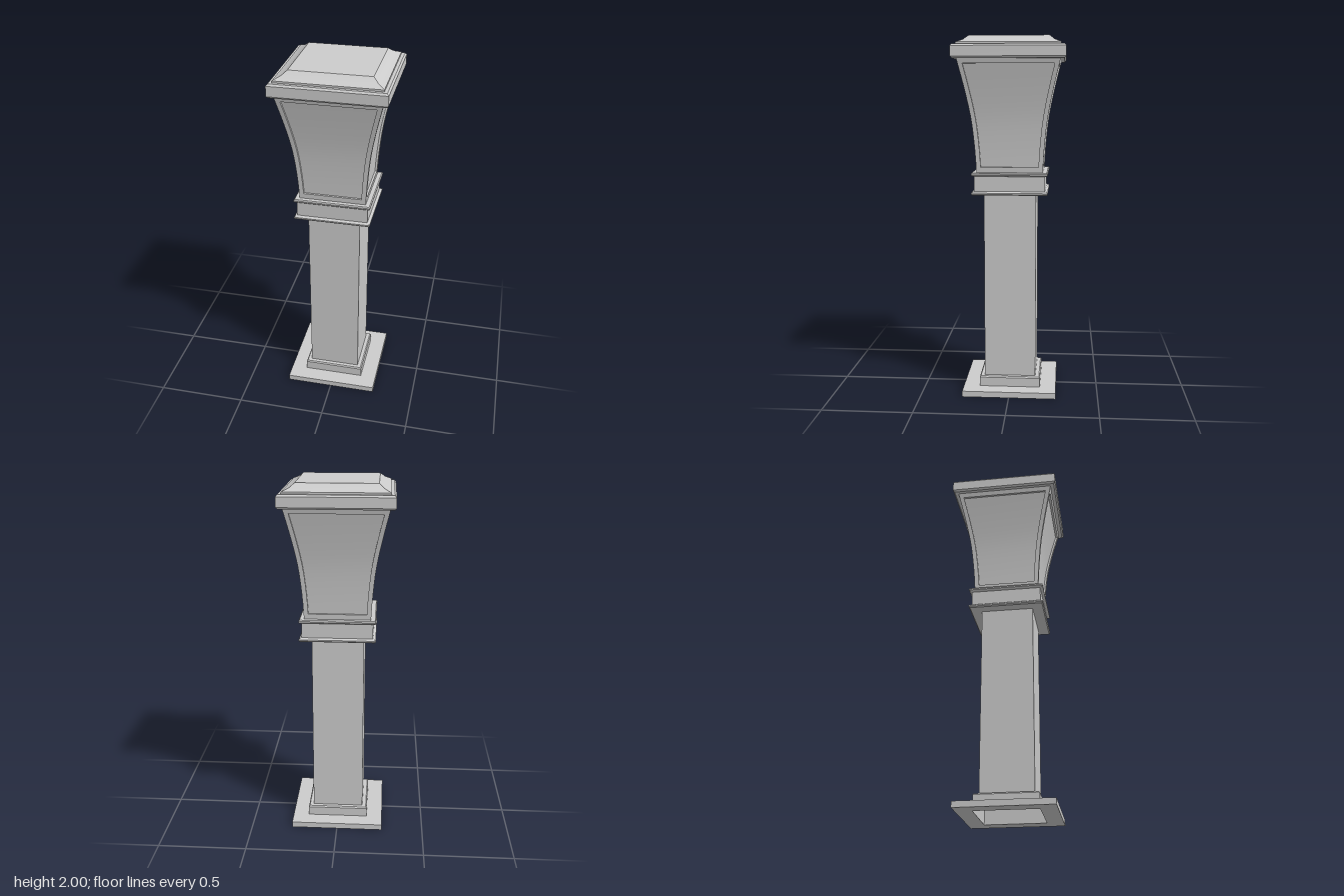
import * as THREE from 'three';
import { toCreasedNormals } from 'three/addons/utils/BufferGeometryUtils.js';

const material = new THREE.MeshStandardMaterial({ color: 0xcccccc, side: THREE.DoubleSide });

// Skins closed rings of points [x, y, z], listed from the bottom up.
function loft(name, rings) {
  const n = rings[0].length;
  const index = [];
  for (let r = 0; r < rings.length - 1; r++) {
    for (let i = 0; i < n; i++) {
      const a = r * n + i, b = r * n + (i + 1) % n;
      index.push(a, b, b + n, a, b + n, a + n);
    }
  }
  let geometry = new THREE.BufferGeometry();
  geometry.setAttribute('position', new THREE.Float32BufferAttribute(rings.flat(2), 3));
  geometry.setIndex(index);
  geometry = toCreasedNormals(geometry, 0.3);
  const mesh = new THREE.Mesh(geometry, material);
  mesh.name = name;
  return mesh;
}

// Repeats one side's points [along, out] around the four sides.
function fourSides(side, y) {
  const ring = [];
  for (let k = 0; k < 4; k++) {
    const c = Math.round(Math.cos(k * Math.PI / 2)), s = Math.round(Math.sin(k * Math.PI / 2));
    for (const [u, v] of side) ring.push([u * c + v * s, y, v * c - u * s]);
  }
  return ring;
}

// Square moulding from a profile of [half width, y].
const moulding = (name, profile) =>
  loft(name, profile.map(([h, y]) => fourSides([[-h, h]], y)));

// Flared head with a recessed panel on every side.
function flaredHead() {
  const bottom = 1.265, top = 1.885, panelBottom = 1.295, panelTop = 1.852, depth = 0.012;
  const flare = new THREE.SplineCurve([
    [0.182, 1.265], [0.19, 1.4], [0.207, 1.56], [0.238, 1.72], [0.277, 1.885],
  ].map(([x, y]) => new THREE.Vector2(x, y)));
  const samples = flare.getPoints(60);
  const halfAt = (y) => {
    const i = Math.max(1, samples.findIndex((p) => p.y >= y - 1e-6));
    const a = samples[i - 1], b = samples[i];
    return THREE.MathUtils.mapLinear(y, a.y, b.y, a.x, b.x);
  };
  const section = (y, d) => {
    const w = halfAt(y), p = w - 0.025;
    return fourSides([[-w, w], [-p, w], [-p, w - d], [p, w - d], [p, w]], y);
  };
  const rings = [section(bottom, 0), section(panelBottom, 0)];
  const steps = 10;
  for (let i = 0; i <= steps; i++) {
    rings.push(section(THREE.MathUtils.lerp(panelBottom, panelTop, i / steps), depth));
  }
  rings.push(section(panelTop, 0), section(top, 0));
  return loft('flaredHead', rings);
}

export function createModel() {
  const model = new THREE.Group();
  model.name = 'lampPost';
  model.add(
    // Foot, open underneath
    moulding('basePlate', [[0.172, 0], [0.263, 0], [0.263, 0.033], [0.172, 0.033]]),
    moulding('baseCollar', [[0.172, 0], [0.172, 0.084], [0.166, 0.091], [0.145, 0.091]]),
    moulding('post', [[0.145, 0.091], [0.145, 1.145]]),
    // Band with a lip at each end
    moulding('neckBand', [
      [0, 1.142], [0.204, 1.142], [0.21, 1.148], [0.21, 1.155], [0.205, 1.16], [0.195, 1.163],
      [0.195, 1.245], [0.205, 1.248], [0.21, 1.253], [0.21, 1.26], [0.205, 1.266], [0, 1.266],
    ]),
    flaredHead(),
    // Overhanging cap with a sloped top
    moulding('cap', [
      [0, 1.878], [0.295, 1.878], [0.304, 1.888], [0.304, 1.942], [0.295, 1.952],
      [0.278, 1.952], [0.278, 1.962], [0.242, 1.978], [0.215, 2], [0, 2],
    ]),
  );
  return model;
}
